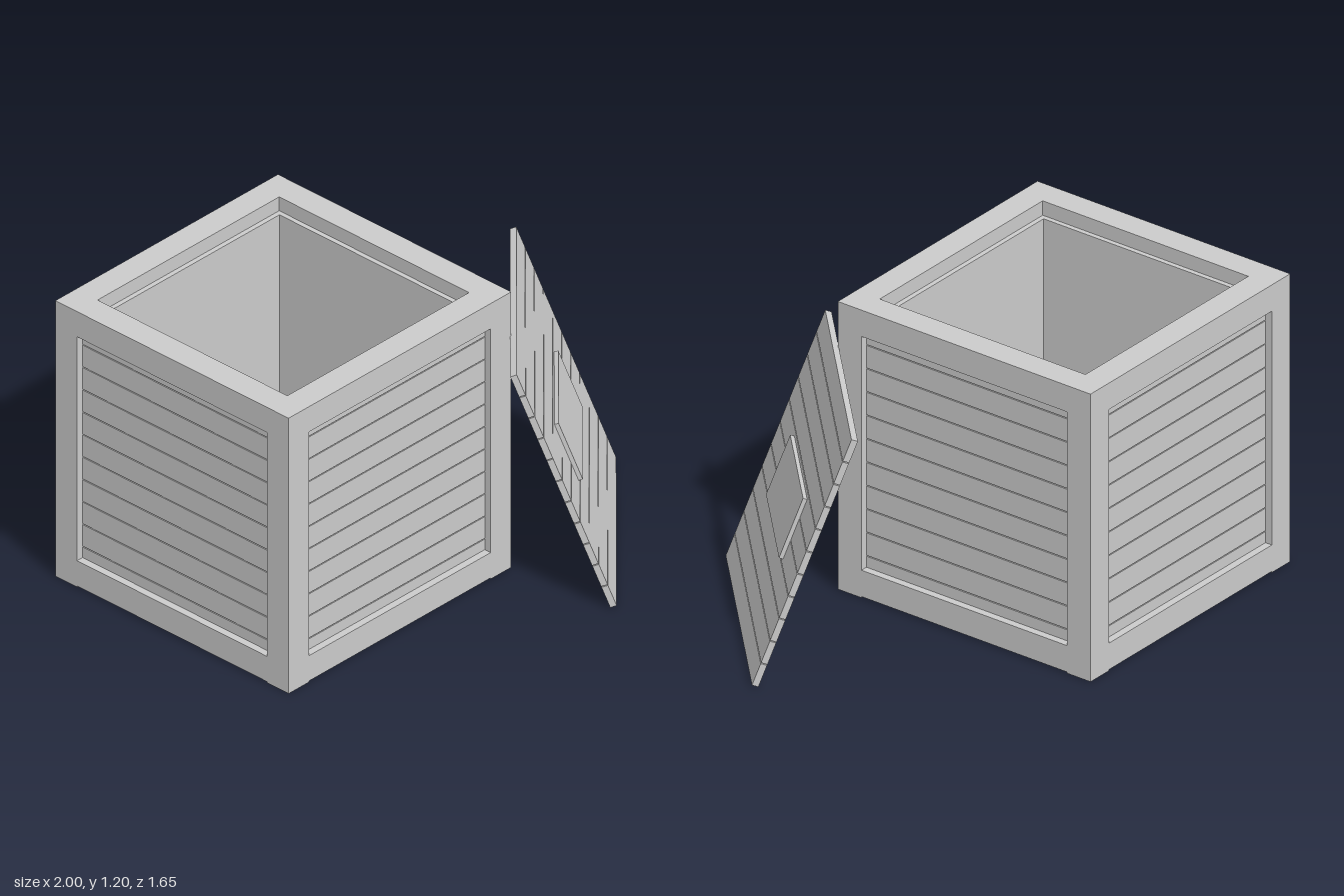
import * as THREE from 'three';

const material = new THREE.MeshStandardMaterial({ color: 0xcccccc, flatShading: true });

function box(parent, name, size, position) {
  const mesh = new THREE.Mesh(new THREE.BoxGeometry(...size), material);
  mesh.name = name;
  mesh.position.set(...position);
  parent.add(mesh);
  return mesh;
}

const W = 1.195, D = 1.18, H = 1.2;   // outer size of the crate
const BEAM = 0.11;                    // frame beam width
const PLANKS = 11, PITCH = 0.0977, GAP = 0.004;

// Stack of horizontal planks, its lower edge at y0 and its front face at z
function plankStack(parent, name, width, thickness, y0, z) {
  for (let i = 0; i < PLANKS; i++) {
    box(parent, name, [width, PITCH - GAP, thickness],
      [0, y0 + (i + 0.5) * PITCH, z - thickness / 2]);
  }
}

function createCrate() {
  const crate = new THREE.Group();
  crate.name = 'crate';

  // Frame: four posts, with rails fitted between them at top and bottom
  const px = (W - BEAM) / 2, pz = (D - BEAM) / 2;
  for (const s of [-1, 1]) {
    for (const t of [-1, 1]) box(crate, 'cornerPost', [BEAM, H, BEAM], [s * px, H / 2, t * pz]);
    for (const [name, y] of [['bottomRail', 0.06], ['topRail', H - BEAM / 2]]) {
      box(crate, name, [W - 2 * BEAM, BEAM, BEAM], [0, y, s * pz]);
      box(crate, name, [BEAM, BEAM, D - 2 * BEAM], [s * px, y, 0]);
    }
  }

  // Recessed planking on all four sides
  for (let k = 0; k < 4; k++) {
    const side = new THREE.Group();
    side.name = 'sidePlanking';
    side.rotation.y = k * Math.PI / 2;
    const [width, depth] = k % 2 ? [D, W] : [W, D];
    plankStack(side, 'sidePlank', width - 2 * BEAM + 0.08, 0.03, 0.065, depth / 2 - 0.03);
    crate.add(side);
  }

  // Smooth inner lining and floor
  const inset = 0.06, t = 0.07, y0 = 0.065, y1 = 1.14;
  const wallH = y1 - y0, wallY = (y0 + y1) / 2;
  for (const s of [-1, 1]) {
    box(crate, 'innerWall', [W - 2 * inset, wallH, t], [0, wallY, s * (D / 2 - inset - t / 2)]);
    box(crate, 'innerWall', [t, wallH, D - 2 * (inset + t)], [s * (W / 2 - inset - t / 2), wallY, 0]);
  }
  box(crate, 'floor', [W - 2 * (inset + t), t, D - 2 * (inset + t)], [0, y0 + t / 2, 0]);

  crate.position.set(-0.4025, 0, -0.24);
  return crate;
}

// Plank lid with a raised plate, leaning against the crate's corner
function createLid() {
  const lid = new THREE.Group();
  lid.name = 'lid';
  plankStack(lid, 'lidPlank', 1.02, 0.025, 0, 0);
  box(lid, 'lidPlate', [0.5, 0.26, 0.02], [0, PLANKS * PITCH / 2, 0.006]);
  lid.rotation.set(THREE.MathUtils.degToRad(-20.1), THREE.MathUtils.degToRad(43.4), 0, 'YXZ');
  lid.position.set(0.628, 0.009, 0.475);
  return lid;
}

export function createModel() {
  const model = new THREE.Group();
  model.name = 'openCrateWithLid';
  model.add(createCrate(), createLid());
  return model;
}
